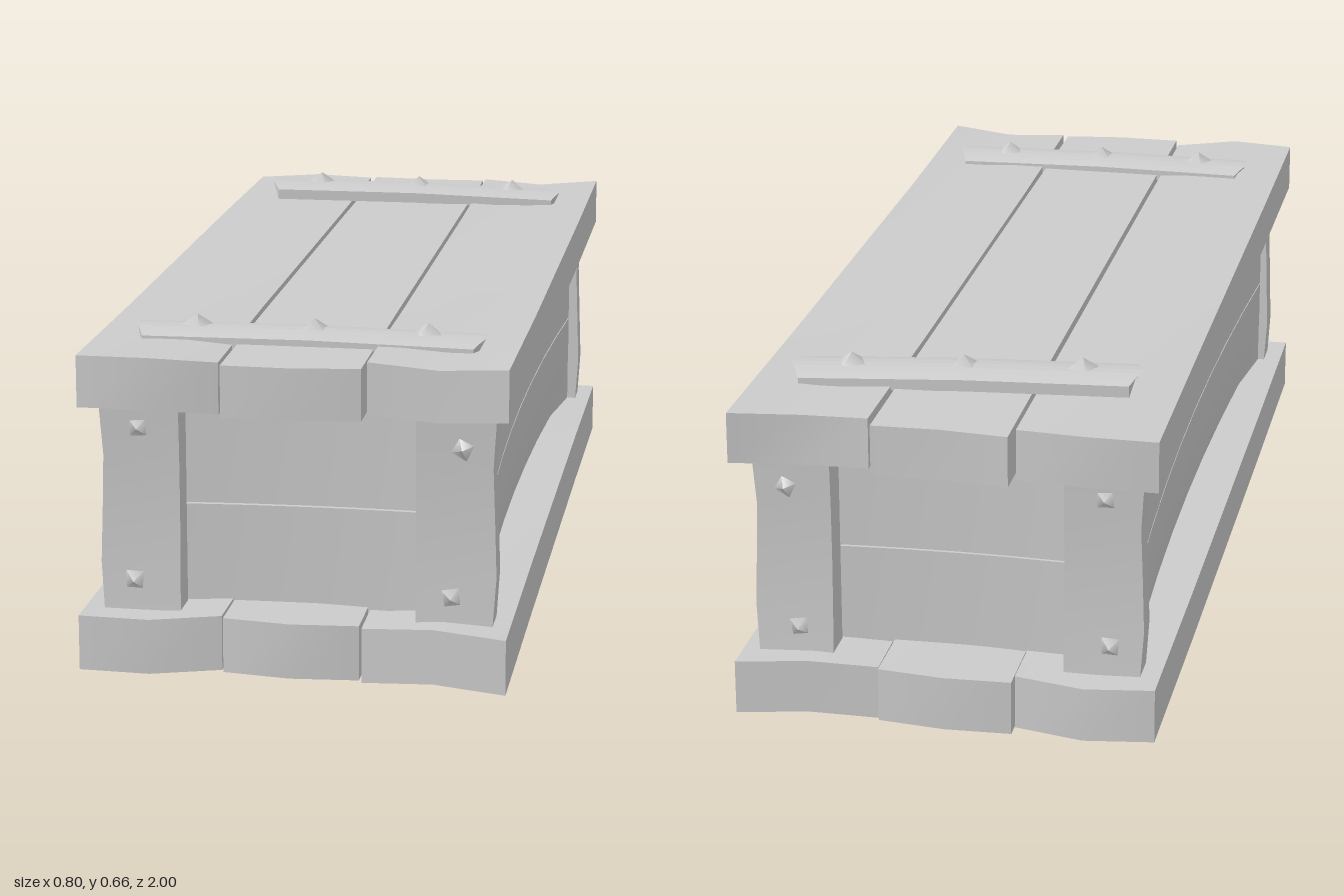
import * as THREE from 'three';

const material = new THREE.MeshStandardMaterial({ color: 0xcccccc, side: THREE.DoubleSide });

function addMesh(parent, geometry, name) {
  const mesh = new THREE.Mesh(geometry, material);
  mesh.name = name;
  parent.add(mesh);
  return mesh;
}

// A board between two corners, its vertices moved by warp(p, u, v, w); u, v, w run -1..1
function board(parent, name, [x0, x1], [y0, y1], [z0, z1], segments, warp) {
  const size = new THREE.Vector3(x1 - x0, y1 - y0, z1 - z0);
  const g = new THREE.BoxGeometry(size.x, size.y, size.z, ...segments);
  const pos = g.attributes.position;
  const p = new THREE.Vector3();
  for (let i = 0; i < pos.count; i++) {
    p.fromBufferAttribute(pos, i);
    const u = 2 * p.x / size.x, v = 2 * p.y / size.y, w = 2 * p.z / size.z;
    p.x += (x0 + x1) / 2;
    p.y += (y0 + y1) / 2;
    p.z += (z0 + z1) / 2;
    warp(p, u, v, w);
    pos.setXYZ(i, p.x, p.y, p.z);
  }
  g.computeVertexNormals();
  return addMesh(parent, g, name);
}

// Four-sided pointed nail head, its point along +y
function nail(parent, x, y, z, turn, r = 0.03) {
  const g = new THREE.ConeGeometry(r, 0.02, 4).rotateY(turn).translate(0, 0.009, 0);
  const mesh = addMesh(parent, g, 'nail');
  mesh.position.set(x, y, z);
  return mesh;
}

// Long plank with rough-cut ends: front, back = z at left edge, middle, right edge
function plank(parent, name, xs, ys, front, back, lift) {
  board(parent, name, xs, ys, [-1, 1], [2, 1, 4], (p, u, v, w) => {
    const k = Math.round(u) + 1;
    if (w > 0.9) { p.z = front[k]; p.y += lift[k]; }
    if (w < -0.9) { p.z = back[k]; p.y += lift[2 - k] * 0.7; }
  });
}

// Hand-forged strap with a domed section and blunt pointed ends
function strap(parent, name, y, z, yaw, roll) {
  const group = new THREE.Group();
  group.name = name;
  const section = new THREE.Shape();
  section.moveTo(-0.062, -0.022);
  section.lineTo(-0.062, 0);
  section.quadraticCurveTo(0, 0.024, 0.062, 0);
  section.lineTo(0.062, -0.022);
  section.closePath();
  const g = new THREE.ExtrudeGeometry(section, { depth: 0.64, steps: 4, bevelEnabled: false, curveSegments: 6 });
  g.translate(0, 0, -0.32).rotateY(Math.PI / 2);
  const pos = g.attributes.position;
  for (let i = 0; i < pos.count; i++) {
    const x = pos.getX(i), side = Math.abs(pos.getZ(i)) / 0.062;
    if (Math.abs(x) > 0.31) pos.setX(i, Math.sign(x) * (0.338 - 0.025 * side));
    pos.setY(i, pos.getY(i) - 0.004 * Math.abs(x) / 0.32);
  }
  g.computeVertexNormals();
  addMesh(group, g, 'strapBar');
  [-0.22, 0.005, 0.22].forEach((x, i) => nail(group, x, 0.01, 0, 0.3 + i * 0.4));
  group.position.set(0.005, y, z);
  group.rotation.set(0, yaw, roll);
  parent.add(group);
}

export function createModel() {
  const crate = new THREE.Group();
  crate.name = 'woodenCrate';

  // Lid planks
  const lid = new THREE.Group();
  lid.name = 'lid';
  const lidY = [0.507, 0.605];
  plank(lid, 'lidPlankRight', [-0.4, -0.137], lidY, [0.965, 0.98, 0.955], [-0.97, -0.985, -0.968], [0.003, 0.006, -0.004]);
  plank(lid, 'lidPlankMiddle', [-0.128, 0.13], lidY, [0.985, 0.99, 0.975], [-0.998, -0.985, -0.988], [-0.002, -0.002, -0.002]);
  plank(lid, 'lidPlankLeft', [0.138, 0.4], lidY, [0.955, 0.965, 0.985], [-0.97, -0.957, -0.99], [0.006, -0.003, 0.007]);
  strap(lid, 'frontStrap', 0.616, 0.755, -0.02, -0.005);
  strap(lid, 'backStrap', 0.628, -0.725, 0.05, -0.024);
  crate.add(lid);

  // Floor planks
  const floor = new THREE.Group();
  floor.name = 'floor';
  const floorY = [0.008, 0.113];
  plank(floor, 'floorPlankRight', [-0.4, -0.133], floorY, [0.985, 0.99, 0.965], [-0.985, -0.995, -0.965], [0.003, 0.002, 0.008]);
  plank(floor, 'floorPlankMiddle', [-0.131, 0.124], floorY, [0.965, 0.985, 0.965], [-0.99, -1, -0.985], [0.004, 0.004, 0]);
  plank(floor, 'floorPlankLeft', [0.128, 0.4], floorY, [0.96, 0.98, 1], [-0.965, -0.975, -0.99], [-0.006, 0.004, -0.004]);
  crate.add(floor);

  // Two boards, lower and upper, on each side and each end
  for (const [level, ys] of [['Lower', [0.1, 0.303]], ['Upper', [0.306, 0.515]]]) {
    for (const s of [-1, 1]) {
      const xs = s > 0 ? [0.3, 0.35] : [-0.35, -0.3];
      board(crate, 'side' + level + 'Board', xs, ys, [-0.87, 0.87], [1, 2, 8], (p, u, v, w) => {
        p.x -= s * 0.025 * (1 - w * w);
        if (level === 'Lower' && v < -0.5 && Math.abs(w) < 0.8) p.x -= s * 0.015;
      });
      const zs = s > 0 ? [0.81, 0.86] : [-0.86, -0.81];
      board(crate, 'end' + level + 'Board', [-0.3, 0.3], ys, zs, [6, 1, 1], (p, u) => {
        p.z -= s * 0.015 * (1 - u * u);
      });
    }
  }

  // Corner posts, slightly hollowed along their height, with two nails each
  for (const end of [1, -1]) {
    for (const s of [1, -1]) {
      const xs = s > 0 ? [0.224, 0.37] : [-0.365, -0.218];
      const zs = end > 0 ? [0.86, 0.925] : [-0.925, -0.86];
      board(crate, 'cornerPost', xs, [0.1, 0.515], zs, [1, 4, 1], (p, u, v, w) => {
        if (w * end > 0) p.z += end * 0.008 * (v * v - 0.5);
        if (u * s > 0) p.x -= s * 0.004 * Math.sin(v * 4);
      });
      const spots = s > 0 ? [[0.31, 0.447, 0.3], [0.29, 0.163, 0.95]] : [[-0.295, 0.466, 0.85], [-0.305, 0.172, 0.75]];
      for (const [x, y, turn] of spots) {
        nail(crate, x, y, end * 0.922, turn, 0.028).rotation.x = end * Math.PI / 2;
      }
    }
  }
  return crate;
}
